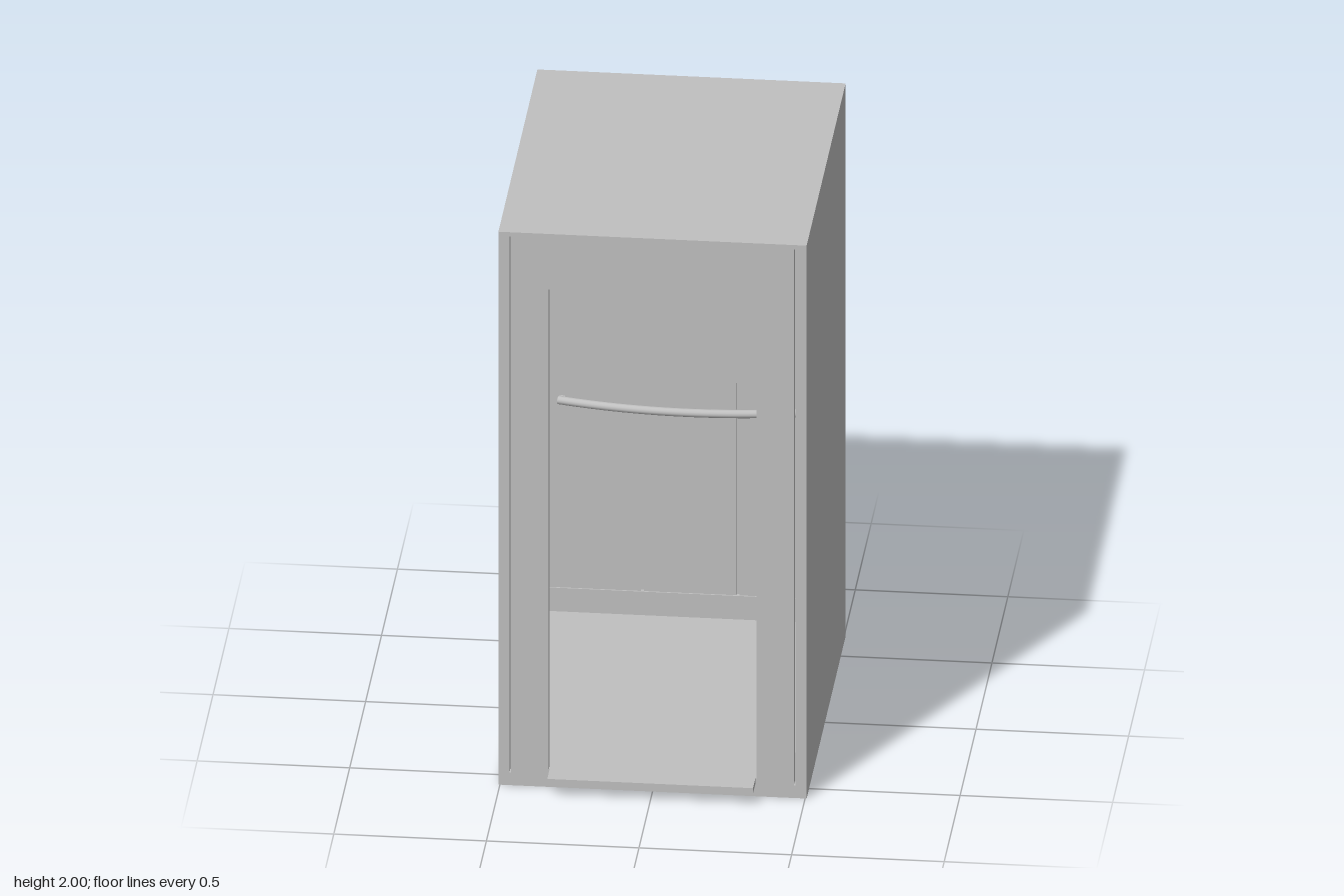
import * as THREE from 'three';

export function createModel() {
  const group = new THREE.Group();
  group.name = 'liftCar';
  const steel = new THREE.MeshStandardMaterial({ color: 0xc0c0c0 });
  steel.name = 'steelGrey';

  const add = (name, geometry) => {
    const mesh = new THREE.Mesh(geometry, steel);
    mesh.name = name;
    group.add(mesh);
    return mesh;
  };
  // Box given by its limits on each axis
  const box = (name, x0, x1, y0, y1, z0, z1) => {
    const mesh = add(name, new THREE.BoxGeometry(x1 - x0, y1 - y0, z1 - z0));
    mesh.position.set((x0 + x1) / 2, (y0 + y1) / 2, (z0 + z1) / 2);
    return mesh;
  };
  const rect = (path, x0, x1, y0, y1) => {
    path.moveTo(x0, y0);
    path.lineTo(x1, y0);
    path.lineTo(x1, y1);
    path.lineTo(x0, y1);
    path.closePath();
    return path;
  };

  const W = 0.505, BACK = -0.65, FRONT = 0.575, INNER = 0.545;
  const FLOOR = 0.065, CEILING = 1.9, SKIRT = 0.15;

  // Outer shell
  box('floor', -W, W, 0, FLOOR, BACK, INNER);
  box('roof', -W, W, CEILING, 2, BACK, INNER);
  box('backWall', -W, W, FLOOR, CEILING, BACK, -0.62);
  for (const [side, s] of [['left', 1], ['right', -1]]) {
    const wall = box(side + 'Wall', 0.475, W, FLOOR, CEILING, -0.62, INNER);
    wall.position.x *= s;
  }

  // Front frame with doorway and two narrow vertical slots
  const frame = rect(new THREE.Shape(), -W, W, 0, 2);
  frame.holes.push(rect(new THREE.Path(), -0.34, 0.34, FLOOR, 1.8));
  for (const x of [-0.466, 0.466]) {
    frame.holes.push(rect(new THREE.Path(), x - 0.003, x + 0.003, 0.045, 1.985));
  }
  const front = add('frontFrame', new THREE.ExtrudeGeometry(frame, { depth: FRONT - INNER, bevelEnabled: false }));
  front.position.z = INNER;

  // Door sill
  box('sill', -0.337, 0.337, 0.045, FLOOR, FRONT, 0.65);

  // Back lining: three panels with open seams
  const backEdges = [-0.475, -0.157, 0.157, 0.475];
  for (let i = 0; i < 3; i++) {
    box('backPanel', backEdges[i] + (i ? 0.005 : 0), backEdges[i + 1] - (i < 2 ? 0.005 : 0),
      SKIRT, CEILING, -0.62, -0.61);
  }
  box('backSkirting', -0.475, 0.475, FLOOR, SKIRT, -0.62, -0.605);
  box('mirror', -0.44, 0.44, 0.92, 1.78, -0.61, -0.604);

  // Side linings: two panels each
  for (const s of [1, -1]) {
    for (const [z0, z1] of [[-0.61, 0.045], [0.055, INNER]]) {
      box('sidePanel', 0.465, 0.475, SKIRT, CEILING, z0, z1).position.x *= s;
    }
    box('sideSkirting', 0.46, 0.475, FLOOR, SKIRT, -0.605, INNER).position.x *= s;
  }

  // Gently bowed handrail with brackets on the back wall
  const bow = new THREE.QuadraticBezierCurve3(
    new THREE.Vector3(-0.43, 0.835, -0.595),
    new THREE.Vector3(0, 0.835, -0.49),
    new THREE.Vector3(0.43, 0.835, -0.595));
  add('handrail', new THREE.TubeGeometry(bow, 32, 0.014, 12));
  for (const x of [-0.42, 0.42]) box('railBracket', x - 0.01, x + 0.01, 0.825, 0.845, -0.61, -0.59);

  return group;
}
